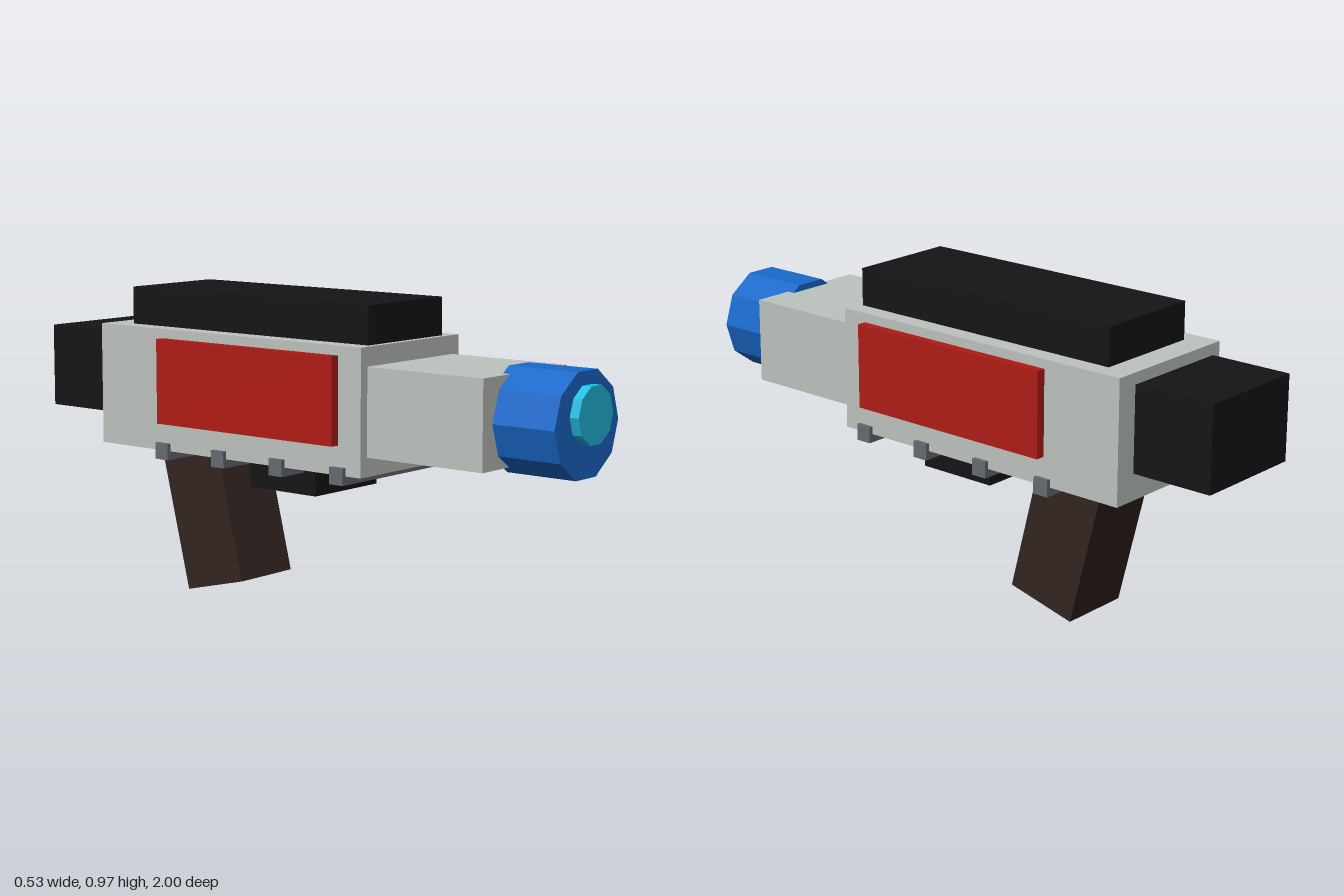
import * as THREE from 'three';

const mat = (color) => new THREE.MeshStandardMaterial({ color, flatShading: true });

export function createModel() {
  const model = new THREE.Group();
  const shell = mat(0xbdc3be), black = mat(0x151517), blue = mat(0x1a69ca);
  const cyan = mat(0x23bcde), red = mat(0xb01b15), steel = mat(0x666a73), brown = mat(0x332521);

  const add = (name, geometry, material, x, y, z) => {
    const mesh = new THREE.Mesh(geometry, material);
    mesh.name = name;
    mesh.position.set(x, y, z);
    model.add(mesh);
    return mesh;
  };
  // Box given by its extents on each axis
  const box = (name, material, [x0, x1], [y0, y1], [z0, z1]) =>
    add(name, new THREE.BoxGeometry(x1 - x0, y1 - y0, z1 - z0), material,
      (x0 + x1) / 2, (y0 + y1) / 2, (z0 + z1) / 2);
  // Ten-sided cylinder along z, flat side up
  const drum = (name, material, radius, y, z0, z1) => {
    const g = new THREE.CylinderGeometry(radius, radius, z1 - z0, 10, 1, false, Math.PI / 2);
    return add(name, g.rotateX(Math.PI / 2), material, 0, y, (z0 + z1) / 2);
  };

  // Main housing and barrel
  box('body', shell, [-0.237, 0.237], [0.468, 0.852], [-0.72, 0.345]);
  box('barrel', shell, [-0.207, 0.207], [0.526, 0.794], [0.3, 0.76]);
  drum('nozzle', blue, 0.162, 0.66, 0.735, 0.97);
  drum('lens', cyan, 0.088, 0.69, 0.9, 1.0);

  // Black blocks on top, behind and below
  box('topRail', black, [-0.178, 0.178], [0.85, 0.97], [-0.635, 0.325]);
  box('rearBlock', black, [-0.184, 0.184], [0.56, 0.824], [-1.0, -0.735]);
  box('underBlock', black, [-0.148, 0.148], [0.373, 0.5], [-0.168, 0.098]);

  // Side panels
  for (const [name, s] of [['leftPanel', 1], ['rightPanel', -1]])
    box(name, red, s > 0 ? [0.225, 0.267] : [-0.267, -0.225], [0.557, 0.823], [-0.45, 0.26]);

  // Cross bars under the housing
  for (let i = 0; i < 4; i++) {
    const z = 0.262 - i * 0.237;
    box('crossBar' + (i + 1), steel, [-0.25, 0.25], [0.441, 0.493], [z - 0.026, z + 0.026]);
  }

  // Raked grip, pivoting from the middle of its foot
  const grip = add('grip', new THREE.BoxGeometry(0.236, 0.56, 0.236).translate(0, 0.28, 0),
    brown, 0, 0.029, -0.346);
  grip.rotation.x = -0.244;

  return model;
}
